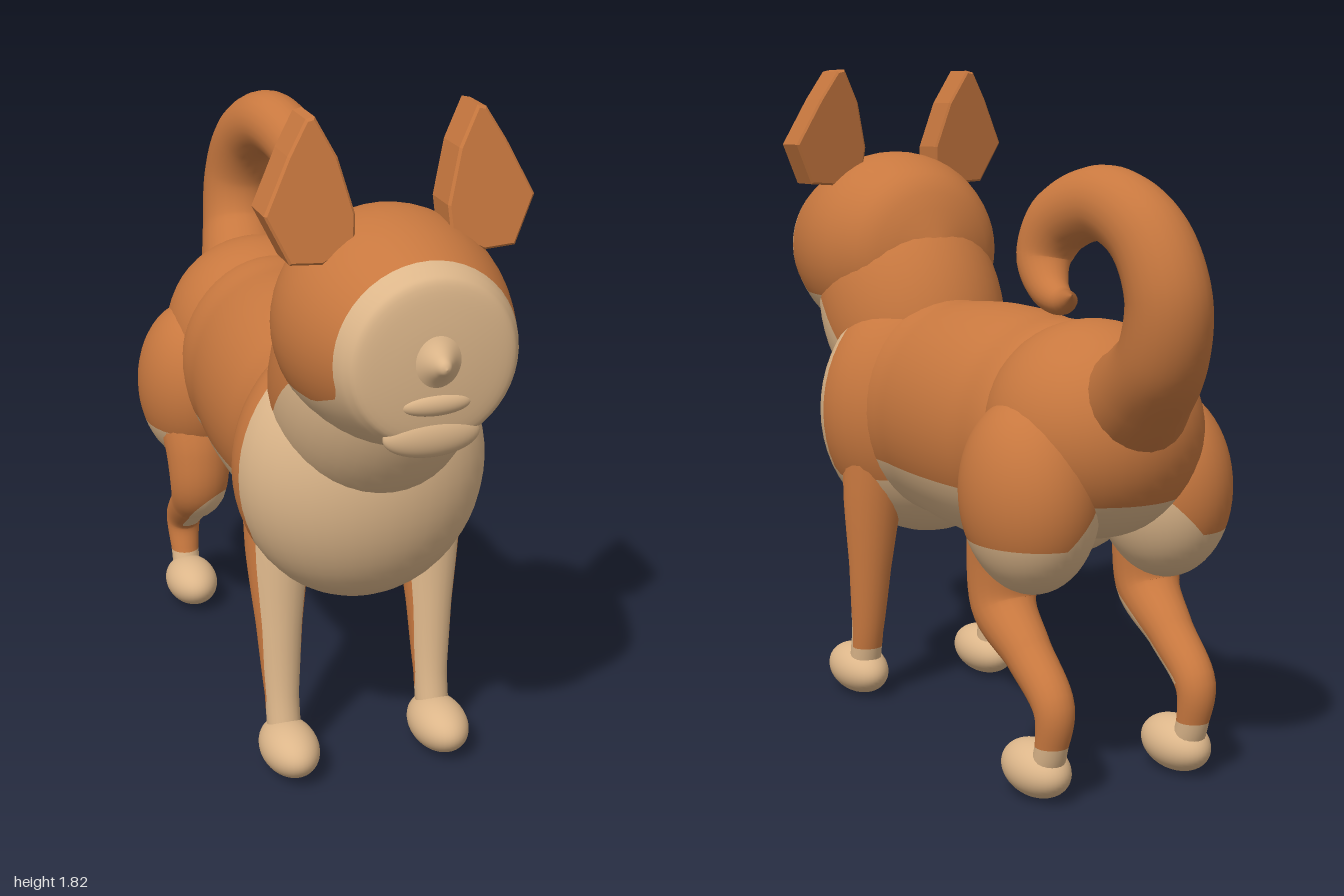
import * as THREE from 'three';

const orange = new THREE.MeshStandardMaterial({ color: 0xc8783f });
orange.name = 'orange fur';
const cream = new THREE.MeshStandardMaterial({ color: 0xdcb68a });
cream.name = 'cream fur';

// Cuts a geometry along field = 0: cream where the field is positive, orange elsewhere
function twoTone(geometry, field) {
  const src = geometry.index ? geometry.toNonIndexed() : geometry;
  const pos = src.attributes.position, nor = src.attributes.normal;
  const positions = [], normals = [], out = new THREE.BufferGeometry();
  [-1, 1].forEach((sign, material) => {
    const start = positions.length / 3;
    for (let i = 0; i < pos.count; i += 3) {
      const tri = [0, 1, 2].map((k) => {
        const p = new THREE.Vector3().fromBufferAttribute(pos, i + k);
        return { p, n: new THREE.Vector3().fromBufferAttribute(nor, i + k), f: sign * (field(p) + 1e-6) };
      });
      const poly = [];
      tri.forEach((a, k) => {
        const b = tri[(k + 1) % 3];
        if (a.f >= 0) poly.push(a);
        if (a.f >= 0 !== b.f >= 0) {
          const t = a.f / (a.f - b.f);
          poly.push({ p: a.p.clone().lerp(b.p, t), n: a.n.clone().lerp(b.n, t).normalize() });
        }
      });
      for (let k = 1; k + 1 < poly.length; k++) {
        for (const v of [poly[0], poly[k], poly[k + 1]]) {
          positions.push(...v.p.toArray());
          normals.push(...v.n.toArray());
        }
      }
    }
    out.addGroup(start, positions.length / 3 - start, material);
  });
  out.setAttribute('position', new THREE.Float32BufferAttribute(positions, 3));
  out.setAttribute('normal', new THREE.Float32BufferAttribute(normals, 3));
  return out;
}

// Ellipsoid with its radii, an optional tilt about x, and its centre
function ellipsoid(center, radii, tilt = 0) {
  return new THREE.SphereGeometry(1, 40, 28).scale(...radii).rotateX(tilt).translate(...center);
}

// Smooth lathe along z from [radius, z] points
function latheZ(points, sx, sy, y) {
  const curve = new THREE.SplineCurve(points.map((p) => new THREE.Vector2(...p)));
  const profile = curve.getPoints(40).map((p) => new THREE.Vector2(Math.max(p.x, 0), p.y));
  return new THREE.LatheGeometry(profile, 48).rotateX(Math.PI / 2).scale(sx, sy, 1).translate(0, y, 0);
}

// Tube through [x, y, z, radius] points
function taperedTube(points, segments = 40, sides = 20) {
  const curve = new THREE.CatmullRomCurve3(points.map(([x, y, z]) => new THREE.Vector3(x, y, z)));
  const geo = new THREE.TubeGeometry(curve, segments, 1, sides);
  const pos = geo.attributes.position, v = new THREE.Vector3();
  for (let i = 0; i <= segments; i++) {
    const center = curve.getPointAt(i / segments);
    const t = curve.getUtoTmapping(i / segments) * (points.length - 1);
    const k = Math.min(Math.floor(t), points.length - 2);
    const r = THREE.MathUtils.lerp(points[k][3], points[k + 1][3], t - k);
    for (let j = 0; j <= sides; j++) {
      const id = i * (sides + 1) + j;
      v.fromBufferAttribute(pos, id).sub(center).multiplyScalar(r).add(center);
      pos.setXYZ(id, v.x, v.y, v.z);
    }
  }
  return geo;
}

export function createModel() {
  const dog = new THREE.Group();
  dog.name = 'dog';
  const add = (name, geometry, material, parent = dog) => {
    const mesh = new THREE.Mesh(geometry, material);
    mesh.name = name;
    parent.add(mesh);
  };
  const addTwoTone = (name, geometry, field, parent) =>
    add(name, twoTone(geometry, field), [orange, cream], parent);

  // Torso: barrel, chest and rump with a cream underside
  addTwoTone('barrel', latheZ([[0, -0.5], [0.85, -0.44], [0.96, -0.25], [1, -0.05], [0.96, 0.17], [0.85, 0.36], [0, 0.42]],
    0.29, 0.325, 0.865), (p) => 0.735 - p.y);
  addTwoTone('chest', ellipsoid([0, 0.85, 0.4], [0.335, 0.37, 0.26]),
    (p) => Math.max(p.z - 0.43, 0.67 - p.y));
  addTwoTone('rump', ellipsoid([0, 0.91, -0.5], [0.28, 0.28, 0.29]), (p) => 0.75 - p.y);

  // Neck leaning forward, with a cream throat
  addTwoTone('neck', ellipsoid([0, 1.13, 0.52], [0.265, 0.39, 0.28], 0.57),
    (p) => Math.min(1.17 - p.y, p.z - 0.44 - Math.max(0, p.y - 1)));

  // Head with a flat cream face
  addTwoTone('head', latheZ([[0, 0.32], [0.19, 0.39], [0.265, 0.5], [0.287, 0.61], [0.273, 0.73], [0.232, 0.86],
    [0.212, 0.905], [0.185, 0.93], [0.1, 0.943], [0, 0.948]], 1, 1, 1.3),
  (p) => Math.max(p.z - 0.87, 1.17 - p.y + Math.max(0, p.z - 0.75) * 0.4));
  add('nose', latheZ([[0.1, 0.925], [0.055, 0.95], [0.028, 0.975], [0.014, 0.993], [0, 1]], 0.9, 1, 1.31), cream);
  add('upperLip', ellipsoid([0, 1.205, 0.93], [0.09, 0.03, 0.026]), cream);
  add('chin', ellipsoid([0, 1.12, 0.91], [0.12, 0.055, 0.036]), cream);

  // Curled tail
  add('tail', taperedTube([[0, 0.95, -0.62, 0.16], [0.02, 1.05, -0.77, 0.125], [0.035, 1.14, -0.865, 0.11],
    [0.045, 1.28, -0.897, 0.103], [0.06, 1.42, -0.83, 0.098], [0.09, 1.49, -0.69, 0.092], [0.13, 1.44, -0.55, 0.085],
    [0.15, 1.35, -0.505, 0.07], [0.16, 1.275, -0.55, 0.05], [0.16, 1.25, -0.61, 0.034], [0.16, 1.26, -0.645, 0.022],
    [0.16, 1.268, -0.655, 0.001]], 90, 24), orange);

  for (const s of [1, -1]) {
    const side = s > 0 ? 'left' : 'right';

    // Ear: thick slab leaning back
    const outline = [[0.2, 1.825], [0.222, 1.82], [0.27, 1.74], [0.335, 1.61], [0.28, 1.495], [0.2, 1.49],
      [0.12, 1.53], [0.115, 1.6], [0.15, 1.73]];
    const shape = new THREE.Shape(outline.map(([x, y]) => new THREE.Vector2(s * x, y)));
    const ear = new THREE.ExtrudeGeometry(shape, { depth: 0.1, bevelSize: 0.006, bevelOffset: -0.006,
      bevelThickness: 0.006, bevelSegments: 1 });
    const shear = new THREE.Matrix4().set(1, 0, 0, 0, 0, 1, 0, 0, 0, -0.19, 1, 0.61 + 0.19 * 1.49, 0, 0, 0, 1);
    add(`${side}Ear`, ear.applyMatrix4(shear), orange);

    // Front leg: cream in front, orange behind
    const front = new THREE.Group();
    front.name = `${side}FrontLeg`;
    dog.add(front);
    addTwoTone('frontLeg', taperedTube([[s * 0.2, 0.78, 0.35, 0.1], [s * 0.21, 0.6, 0.362, 0.085],
      [s * 0.212, 0.4, 0.378, 0.062], [s * 0.212, 0.2, 0.4, 0.046], [s * 0.212, 0.08, 0.425, 0.045]]),
    (p) => Math.max(p.z - 0.406, 0.15 - p.y), front);
    add('frontPaw', ellipsoid([s * 0.212, 0.073, 0.465], [0.077, 0.07, 0.125], -0.06), cream, front);

    // Hind leg: round thigh, bent shin and paw
    const hind = new THREE.Group();
    hind.name = `${side}HindLeg`;
    dog.add(hind);
    addTwoTone('thigh', ellipsoid([s * 0.2, 0.76, -0.52], [0.17, 0.25, 0.205], 0.12),
      (p) => 0.65 + Math.max(0, 0.2 - Math.abs(p.x)) - p.y, hind);
    const shinField = (p) => Math.max(0.15 - p.y, Math.min(p.y - 0.25,
      0.57 * (p.z + 0.53) - 0.82 * (p.y - 0.345) - 0.025 + 0.5 * (0.21 - Math.abs(p.x))));
    addTwoTone('shin', taperedTube([[s * 0.22, 0.68, -0.46, 0.11], [s * 0.22, 0.57, -0.425, 0.095],
      [s * 0.22, 0.46, -0.43, 0.085], [s * 0.215, 0.36, -0.545, 0.062], [s * 0.212, 0.25, -0.665, 0.053],
      [s * 0.212, 0.15, -0.655, 0.042], [s * 0.212, 0.07, -0.625, 0.042]]), shinField, hind);
    add('hindPaw', ellipsoid([s * 0.212, 0.073, -0.58], [0.077, 0.07, 0.118], -0.06), cream, hind);
  }
  return dog;
}
